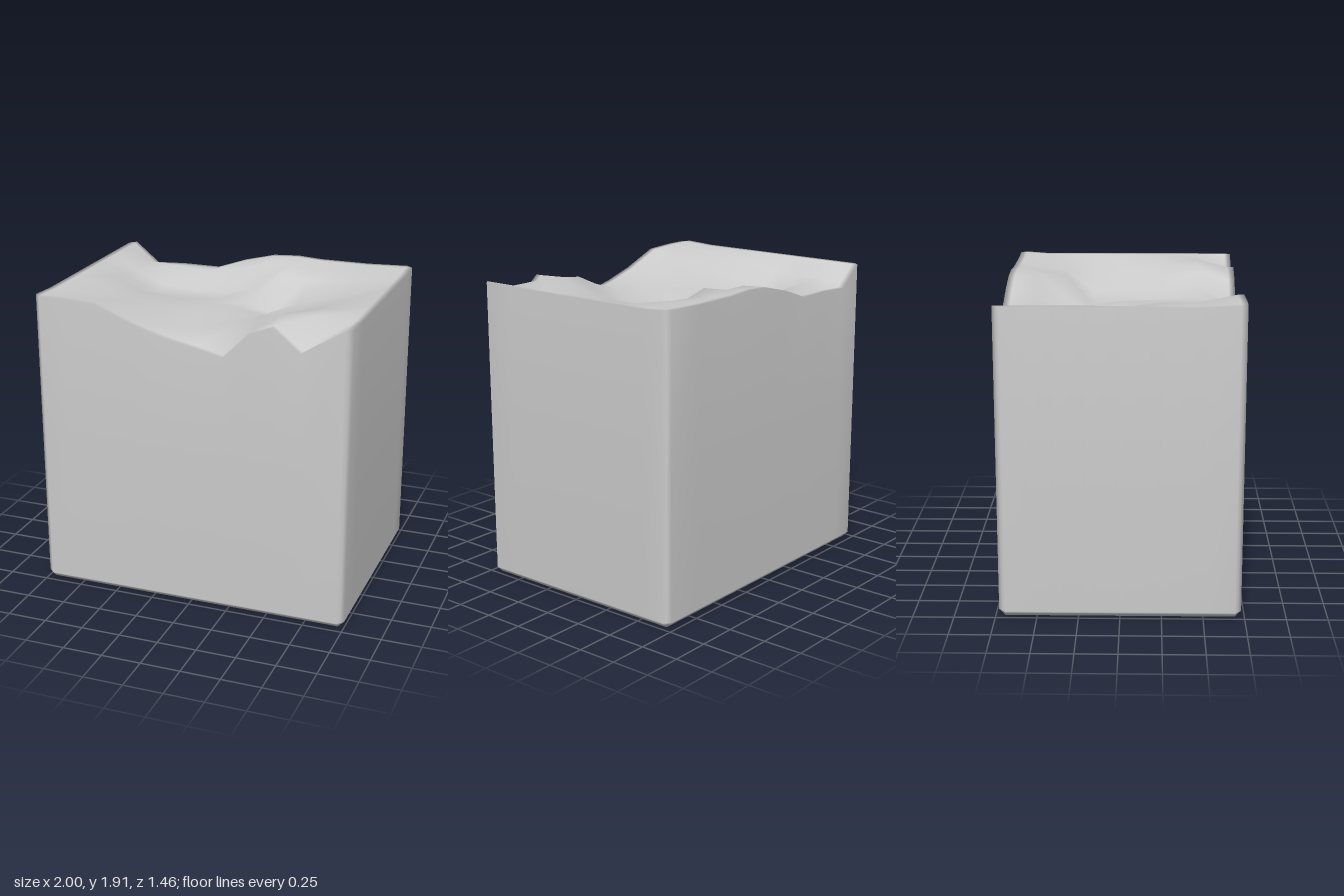
import * as THREE from 'three';
import { mergeVertices } from 'three/addons/utils/BufferGeometryUtils.js';

// Grid lines of the block; the outer pairs leave room for the chamfers
const XS = [-1, -0.96, -0.8, -0.6, -0.35, -0.15, 0.05, 0.22, 0.38, 0.53, 0.7, 0.96, 1];
const YS = [0, 0.04, 1, 1.91];
const ZS = [-0.73, -0.69, -0.55, -0.38, -0.2, 0, 0.25, 0.5, 0.69, 0.73];

// Height of the worn top in hundredths, one row per inner z line, back to front
const TOP = [
  [190, 177, 178, 178, 185, 190, 191, 190, 190, 190, 191],
  [190, 182, 181, 180, 182, 189, 189, 187, 188, 189, 190],
  [190, 180, 172, 171, 171, 177, 188, 184, 185, 187, 190],
  [190, 182, 171, 170, 172, 171, 166, 174, 179, 183, 190],
  [190, 186, 178, 175, 175, 174, 171, 175, 179, 184, 190],
  [190, 189, 181, 178, 175, 174, 172, 176, 182, 187, 190],
  [190, 189, 186, 179, 175, 175, 180, 187, 189, 190, 190],
  [191, 191, 190, 180, 174, 170, 166, 182, 188, 174, 190],
];

function createBlock() {
  const nx = XS.length - 1, ny = YS.length - 1, nz = ZS.length - 1;
  // Box in grid units, so every vertex gives its own grid indices
  const box = new THREE.BoxGeometry(nx, ny, nz, nx, ny, nz);
  box.deleteAttribute('uv');
  box.deleteAttribute('normal');
  const geometry = mergeVertices(box);
  const pos = geometry.attributes.position;
  for (let n = 0; n < pos.count; n++) {
    const i = Math.round(pos.getX(n) + nx / 2);
    const j = Math.round(pos.getY(n) + ny / 2);
    const k = Math.round(pos.getZ(n) + nz / 2);
    let x = XS[i], y = YS[j], z = ZS[k];
    const edgeX = i === 0 || i === nx, edgeZ = k === 0 || k === nz, bottom = j === 0;

    // Vertices on an edge move inwards, which makes the chamfer
    const touching = edgeX + edgeZ + bottom;
    if (touching > 1) {
      const inset = touching === 3 ? 0.027 : 0.02;
      if (edgeX) x -= Math.sign(x) * inset;
      if (edgeZ) z -= Math.sign(z) * inset;
      if (bottom) y += inset;
    }
    // Worn top
    if (j === ny) {
      const row = TOP[THREE.MathUtils.clamp(k - 1, 0, TOP.length - 1)];
      y = row[THREE.MathUtils.clamp(i - 1, 0, row.length - 1)] / 100;
    }
    pos.setXYZ(n, x, y, z);
  }
  geometry.computeVertexNormals();
  return geometry;
}

export function createModel() {
  const group = new THREE.Group();
  const block = new THREE.Mesh(createBlock(), new THREE.MeshStandardMaterial({ color: 0xcccccc }));
  block.name = 'roughToppedBlock';
  group.add(block);
  return group;
}
